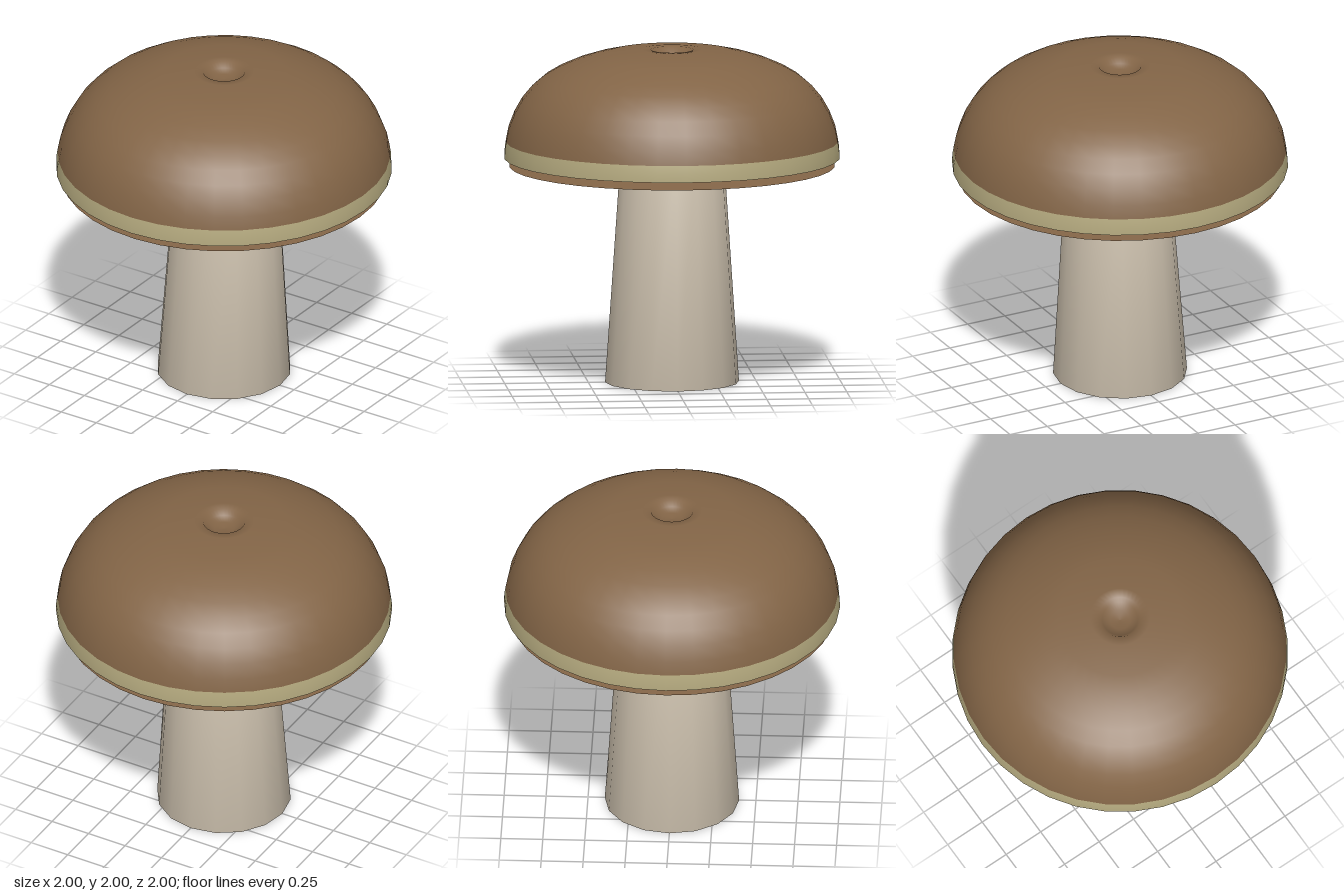
import * as THREE from 'three';
import { mergeVertices } from 'three/addons/utils/BufferGeometryUtils.js';

const material = (name, color, side = THREE.FrontSide) => {
  const m = new THREE.MeshStandardMaterial({ color, side });
  m.name = name;
  return m;
};

export function createModel() {
  const group = new THREE.Group();
  group.name = 'mushroom';
  const brown = material('cap brown', 0x826446, THREE.DoubleSide);
  const olive = material('rim olive', 0xb5aa7f, THREE.DoubleSide);
  const cream = material('stem cream', 0xcec2af);

  const add = (name, geometry, mat) => {
    const mesh = new THREE.Mesh(geometry, mat);
    mesh.name = name;
    group.add(mesh);
  };
  const lathe = (points, sides) =>
    new THREE.LatheGeometry(points.map(([r, y]) => new THREE.Vector2(r, y)), sides);

  // Hollow domed cap with a small dimple in the crown
  add('cap', lathe([
    [0.991, 1.45], [0.975, 1.53], [0.94, 1.62], [0.895, 1.7], [0.835, 1.772],
    [0.765, 1.832], [0.68, 1.883], [0.58, 1.926], [0.48, 1.958], [0.37, 1.983],
    [0.18, 2.0], [0.125, 1.998], [0.105, 1.965], [0.06, 1.948], [0, 1.943],
  ], 36), brown);

  // Pale band around the cap's open lower edge
  add('rimBand', lathe([[1, 1.35], [0.999, 1.4], [0.991, 1.45]], 36), olive);

  // Thin shallow gill cone, open below
  const gillHeight = 0.143;
  const gills = new THREE.ConeGeometry(0.97, gillHeight, 36, 1, true);
  gills.translate(0, 1.3 + gillHeight / 2, 0);
  add('gills', gills, brown);

  // Tapered stem, leaning very slightly towards +x, shaded smoothly over its base
  const height = 1.42;
  const cylinder = new THREE.CylinderGeometry(0.305, 0.4, height, 16);
  cylinder.translate(0, height / 2, 0);
  cylinder.deleteAttribute('normal');
  cylinder.deleteAttribute('uv');
  const stem = mergeVertices(cylinder);
  const p = stem.attributes.position;
  for (let i = 0; i < p.count; i++) p.setX(i, p.getX(i) + 0.019 * p.getY(i) / height);
  stem.computeVertexNormals();
  add('stem', stem, cream);

  return group;
}
